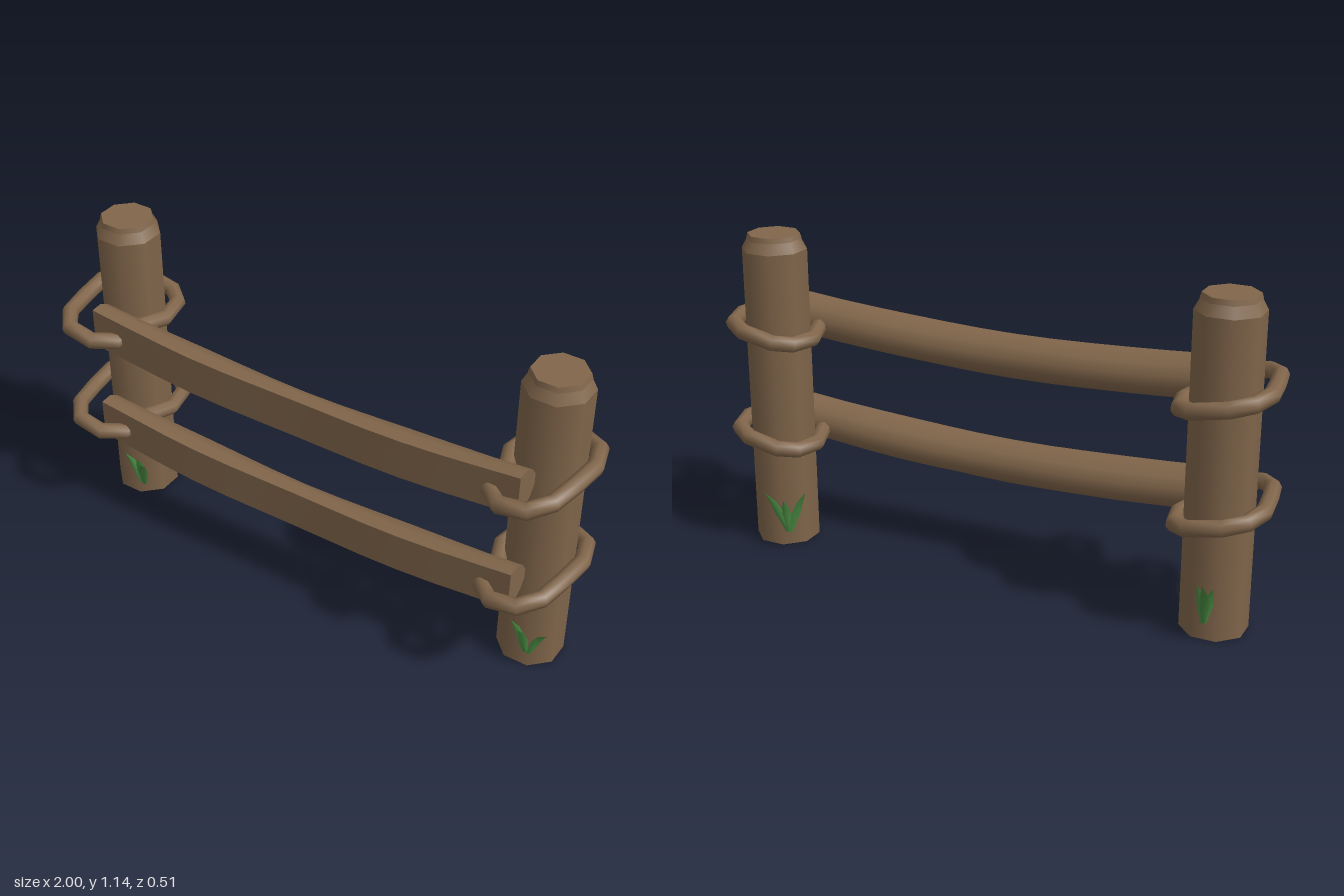
import * as THREE from 'three';
import { toCreasedNormals } from 'three/addons/utils/BufferGeometryUtils.js';

const wood = new THREE.MeshStandardMaterial({ color: 0x80654a });
wood.name = 'brown wood';
const green = new THREE.MeshStandardMaterial({ color: 0x4a8a42, side: THREE.DoubleSide });
green.name = 'grass green';

const POST_X = 0.826, POST_Z = -0.052;

function add(parent, name, geometry, material) {
  const mesh = new THREE.Mesh(geometry, material);
  mesh.name = name;
  parent.add(mesh);
  return mesh;
}

// Octagonal post with rounded shoulder and a small lip on top
function makePost(side) {
  const post = new THREE.Group();
  post.name = side > 0 ? 'leftPost' : 'rightPost';
  const k = 1 / Math.cos(Math.PI / 8);
  // name, bottom y, top y, bottom radius, top radius, open ended
  const parts = [
    ['postBody', 0, 1.085, 0.106, 0.106, false],
    ['postShoulder', 1.085, 1.122, 0.106, 0.088, false],
    ['postLip', 1.122, 1.14, 0.09, 0.085, false],
  ];
  for (const [name, y0, y1, r0, r1, open] of parts) {
    const g = new THREE.CylinderGeometry(r1 * k, r0 * k, y1 - y0, 8, 1, open, Math.PI / 8);
    add(post, name, g, wood).position.y = (y0 + y1) / 2;
  }
  post.position.set(side * POST_X, 0, POST_Z);
  return post;
}

// Sagging half-log rail: flat front, rounded back
function makeRailGeometry() {
  const section = [ // z, y
    [0.169, -0.072], [0.169, 0.072], [0.125, 0.075], [0.078, 0.052], [0.054, 0.02],
    [0.054, -0.02], [0.078, -0.052], [0.125, -0.075],
  ];
  const steps = 12, n = section.length, half = 0.828;
  const pos = [], idx = [];
  for (let i = 0; i <= steps; i++) {
    const t = (i / steps) * 2 - 1;
    const wave = 0.004 * Math.cos(t * Math.PI * 2);
    for (const [z, y] of section) {
      pos.push(t * half, y + 0.045 * t * t, z + (z > 0.1 ? -wave : wave));
    }
  }
  for (let i = 0; i < steps; i++) {
    for (let j = 0; j < n; j++) {
      const a = i * n + j, b = i * n + (j + 1) % n, c = b + n, d = a + n;
      idx.push(a, d, c, a, c, b);
    }
  }
  const last = steps * n;
  for (let j = 1; j < n - 1; j++) {
    idx.push(0, j, j + 1, last, last + j + 1, last + j);
  }
  const g = new THREE.BufferGeometry();
  g.setAttribute('position', new THREE.Float32BufferAttribute(pos, 3));
  g.setIndex(idx);
  return toCreasedNormals(g, 0.85);
}

// Tilted rope loop around post and rail end
function makeRopeGeometry(side) {
  const path = [ // x, z
    [0.88, -0.192], [0.945, -0.15], [0.972, -0.055], [0.957, 0.06], [0.938, 0.16], [0.885, 0.225],
    [0.79, 0.225], [0.73, 0.168], [0.725, 0.05], [0.688, -0.05], [0.708, -0.15], [0.76, -0.192],
  ];
  const points = path.map(([x, z]) => new THREE.Vector3(side * x, 0.2 * (x - 0.83), z));
  const curve = new THREE.CatmullRomCurve3(points, true);
  // One tube ring per path point keeps the loop angular
  curve.getPointAt = (t, target) => curve.getPoint(t, target);
  curve.getTangentAt = (t, target) => curve.getTangent(t, target);
  return new THREE.TubeGeometry(curve, path.length, 0.029, 8, true);
}

// Folded pointed leaf from base to tip
function makeBladeGeometry(base, tip) {
  const b = new THREE.Vector3(...base), e = new THREE.Vector3(...tip);
  const out = new THREE.Vector3(b.x - Math.sign(b.x) * POST_X, 0, b.z - POST_Z).normalize();
  const across = new THREE.Vector3(-out.z, 0, out.x);
  const pos = [], idx = [];
  const rows = [[0, 0.007], [0.35, 0.016], [0.65, 0.011], [1, 0.0005]]; // height share, half width
  for (const [t, w] of rows) {
    const mid = b.clone().lerp(e, t).addScaledVector(out, -0.012 * Math.sin(t * Math.PI));
    mid.y += 0.015 * Math.sin(t * Math.PI);
    for (const s of [-1, 0, 1]) {
      const p = mid.clone().addScaledVector(across, s * w).addScaledVector(out, s ? 0 : w * 0.5);
      pos.push(p.x, p.y, p.z);
    }
  }
  for (let i = 0; i < rows.length - 1; i++) {
    for (let j = 0; j < 2; j++) {
      const a = i * 3 + j;
      idx.push(a, a + 3, a + 4, a, a + 4, a + 1);
    }
  }
  const g = new THREE.BufferGeometry();
  g.setAttribute('position', new THREE.Float32BufferAttribute(pos, 3));
  g.setIndex(idx);
  g.computeVertexNormals();
  return g;
}

export function createModel() {
  const model = new THREE.Group();
  model.name = 'fence';

  for (const side of [-1, 1]) model.add(makePost(side));

  const railGeometry = makeRailGeometry();
  [['upper', 0], ['lower', -0.393]].forEach(([level, dy]) => {
    add(model, level + 'Rail', railGeometry, wood).position.y = 0.754 + dy;
    for (const side of [-1, 1]) {
      const name = level + (side > 0 ? 'Left' : 'Right') + 'Rope';
      add(model, name, makeRopeGeometry(side), wood).position.y = 0.802 + dy;
    }
  });

  // Grass tufts: base, then blade tips
  const tufts = [
    ['rightFrontGrass', [-0.75, 0.07, 0.07], [[-0.81, 0.2, 0.09], [-0.73, 0.225, 0.12], [-0.685, 0.24, 0.155]]],
    ['rightBackGrass', [-0.83, 0.07, -0.18], [[-0.845, 0.24, -0.255], [-0.81, 0.21, -0.2], [-0.86, 0.2, -0.19]]],
    ['leftBackGrass', [0.74, 0.07, -0.178], [[0.665, 0.235, -0.175], [0.78, 0.245, -0.257], [0.73, 0.21, -0.22]]],
    ['leftFrontGrass', [0.866, 0.07, 0.065], [[0.805, 0.2, 0.08], [0.938, 0.19, 0.075], [0.845, 0.2, 0.11]]],
  ];
  for (const [name, base, tips] of tufts) {
    const tuft = new THREE.Group();
    tuft.name = name;
    tips.forEach((tip, i) => {
      const foot = [base[0] + (tip[0] - base[0]) * 0.12, base[1], base[2]];
      add(tuft, 'blade' + (i + 1), makeBladeGeometry(foot, tip), green);
    });
    model.add(tuft);
  }
  return model;
}
